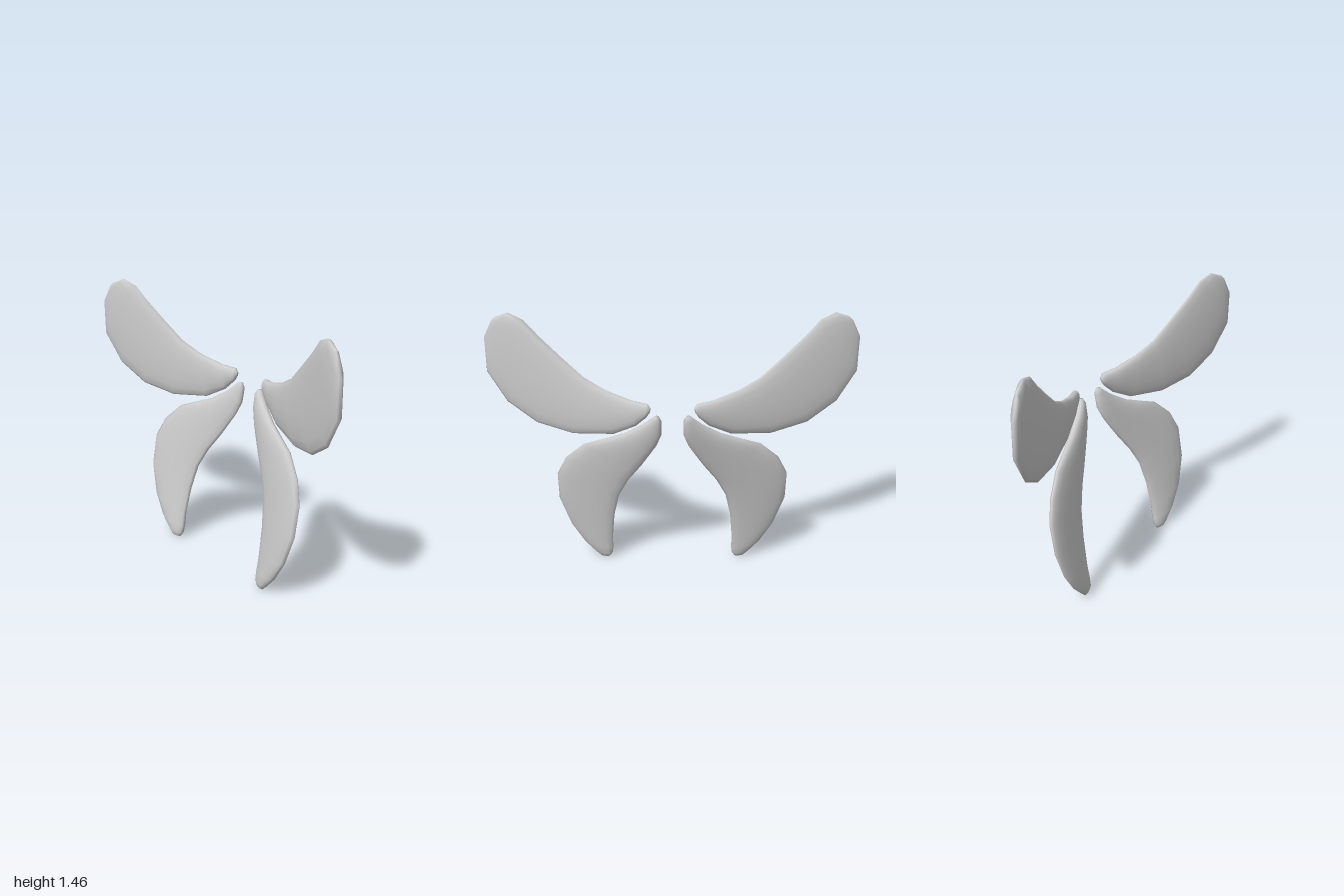
import * as THREE from 'three';

const SIDES = 16;

// Each station is [leading edge x, y, trailing edge x, y, thickness factor], root to tip.
const UPPER = {
  half: 0.028,
  depth: (x) => -0.146 + 0.345 * (x - 0.12),
  normal: new THREE.Vector3(-0.345, 0, 1).normalize(),
  stations: [
    [0.115, 1.03, 0.12, 1.0, 0.4],
    [0.13, 1.05, 0.135, 0.975, 0.85],
    [0.22, 1.06, 0.19, 0.92, 1],
    [0.35, 1.1, 0.31, 0.855, 1],
    [0.46, 1.155, 0.53, 0.825, 1],
    [0.575, 1.25, 0.73, 0.86, 1],
    [0.69, 1.35, 0.89, 0.96, 1],
    [0.77, 1.43, 0.995, 1.12, 1],
    [0.85, 1.46, 0.995, 1.31, 0.85],
    [0.925, 1.43, 0.95, 1.4, 0.4],
  ],
};

const LOWER = {
  half: 0.029,
  depth: (x, y) => -0.013 + 0.23 * (x - 0.3) - 0.17 * (y - 0.5),
  normal: new THREE.Vector3(-0.23, 0.17, 1).normalize(),
  stations: [
    [0.095, 0.98, 0.07, 0.98, 0.4],
    [0.115, 0.96, 0.057, 0.95, 0.85],
    [0.17, 0.915, 0.058, 0.87, 1],
    [0.265, 0.855, 0.085, 0.8, 1],
    [0.37, 0.812, 0.13, 0.725, 1],
    [0.475, 0.77, 0.17, 0.66, 1],
    [0.58, 0.67, 0.24, 0.56, 1],
    [0.635, 0.555, 0.295, 0.45, 1],
    [0.635, 0.385, 0.325, 0.31, 1],
    [0.58, 0.22, 0.34, 0.15, 1],
    [0.505, 0.1, 0.34, 0.07, 1],
    [0.44, 0.03, 0.345, 0.03, 0.85],
    [0.415, 0.003, 0.36, 0.003, 0.4],
  ],
};

// Loft rounded cross-sections between the two edges of a wing; side -1 mirrors it.
function wingGeometry({ half, depth, normal, stations }, side) {
  const positions = [];
  const indices = [];
  const add = (v) => positions.push(v.x * side, v.y, v.z) / 3 - 1;
  const face = (a, b, c) => indices.push(...(side > 0 ? [a, b, c] : [a, c, b]));
  const mids = [];

  for (const [ax, ay, bx, by, thick] of stations) {
    const a = new THREE.Vector3(ax, ay, depth(ax, ay));
    const b = new THREE.Vector3(bx, by, depth(bx, by));
    const mid = a.clone().add(b).multiplyScalar(0.5);
    const across = a.clone().sub(mid);
    mids.push(mid);
    for (let j = 0; j < SIDES; j++) {
      const t = (j / SIDES) * Math.PI * 2;
      const s = Math.sin(t);
      const bulge = Math.sign(s) * Math.abs(s) ** 0.85 * half * thick;
      add(mid.clone().addScaledVector(across, Math.cos(t)).addScaledVector(normal, bulge));
    }
  }

  // Skin and end caps
  const last = stations.length - 1;
  const root = add(mids[0]);
  const tip = add(mids[last]);
  for (let j = 0; j < SIDES; j++) {
    const k = (j + 1) % SIDES;
    for (let i = 0; i < last; i++) {
      const p = i * SIDES;
      const q = p + SIDES;
      face(p + j, p + k, q + j);
      face(p + k, q + k, q + j);
    }
    face(root, k, j);
    face(tip, last * SIDES + j, last * SIDES + k);
  }

  const geometry = new THREE.BufferGeometry();
  geometry.setAttribute('position', new THREE.Float32BufferAttribute(positions, 3));
  geometry.setIndex(indices);
  geometry.computeVertexNormals();
  return geometry;
}

export function createModel() {
  const model = new THREE.Group();
  model.name = 'wings';
  const material = new THREE.MeshStandardMaterial({ color: 0xcccccc });
  material.name = 'light grey';

  for (const [side, label] of [[1, 'left'], [-1, 'right']]) {
    for (const [shape, part] of [[UPPER, 'UpperWing'], [LOWER, 'LowerWing']]) {
      const wing = new THREE.Mesh(wingGeometry(shape, side), material);
      wing.name = label + part;
      model.add(wing);
    }
  }
  return model;
}
